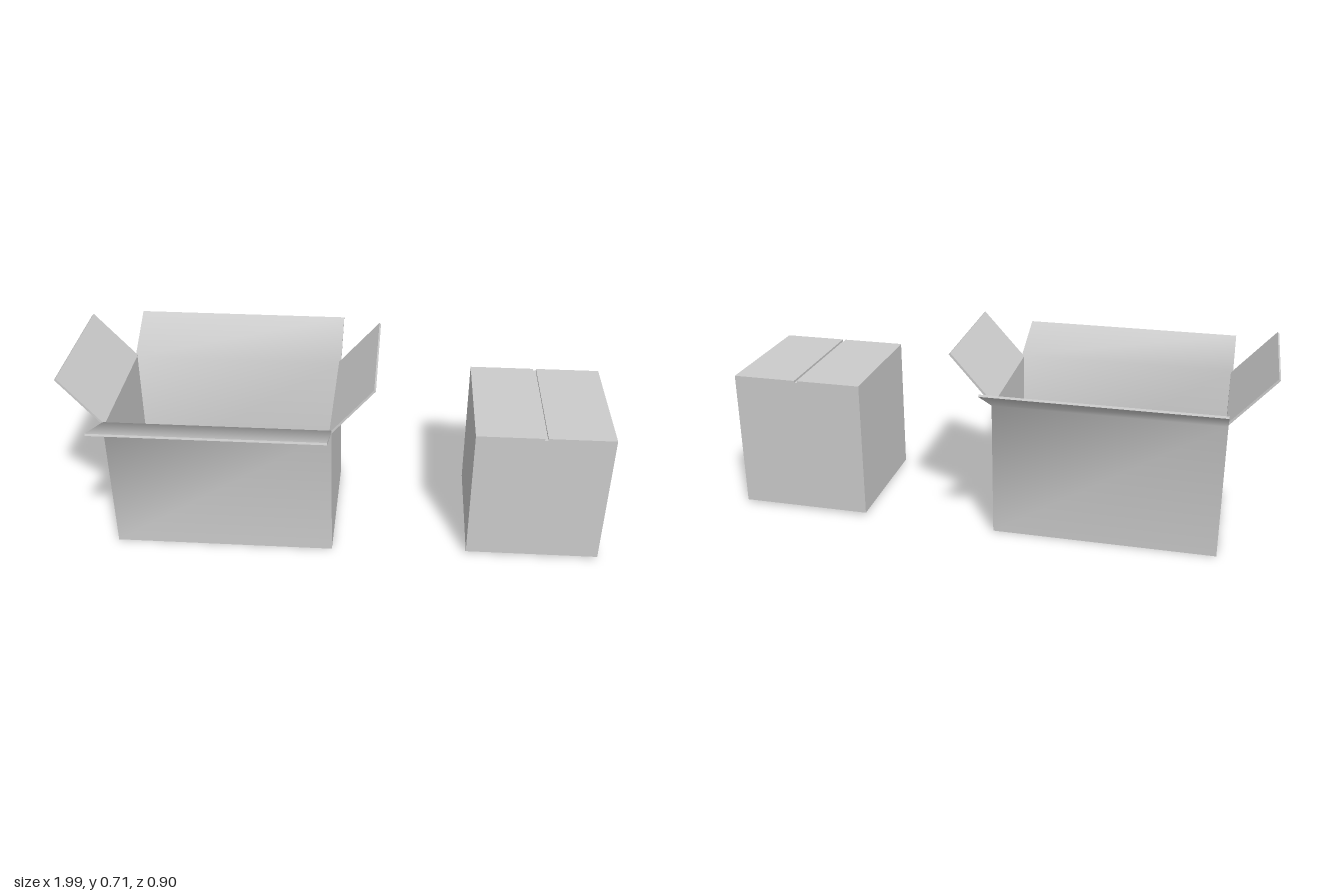
import * as THREE from 'three';
import { mergeGeometries } from 'three/addons/utils/BufferGeometryUtils.js';

const T = 0.008; // cardboard thickness

// Surface through rails of points [a, b], ordered upward and seen from its front
function grid(rails, smooth) {
  const index = [];
  for (let i = 0; i < rails.length - 1; i++) {
    const k = i * 2;
    index.push(k, k + 1, k + 3, k, k + 3, k + 2);
  }
  const indexed = new THREE.BufferGeometry();
  indexed.setAttribute('position', new THREE.Float32BufferAttribute(rails.flat().flatMap(p => p.toArray()), 3));
  indexed.setIndex(index);
  if (smooth) indexed.computeVertexNormals();
  const geometry = indexed.toNonIndexed();
  if (!smooth) geometry.computeVertexNormals();
  return geometry;
}

// Wall folding outward into a flap, as one sheet with thickness.
// rails: outer corners at bottom, fold and tip; out: horizontal outward direction
function foldedSheet(rails, out, smooth) {
  const up = new THREE.Vector3(0, 1, 0);
  const flap = rails[2][0].clone().sub(rails[1][0]);
  const run = flap.dot(out), length = Math.hypot(run, flap.y);
  const c = flap.y / length, s = run / length;
  // inward offsets (inward, up), mitred at the fold
  const offsets = [[1, 0], [1, (1 - c) / s], [c, s]].map(([inward, rise]) =>
    out.clone().multiplyScalar(-inward * T).addScaledVector(up, rise * T));
  const inner = rails.map((rail, i) => rail.map(p => p.clone().add(offsets[i])));
  const last = rails.length - 1;
  return mergeGeometries([
    grid(rails, smooth),
    grid(inner.map(([a, b]) => [b, a]), smooth),
    grid([inner[0], rails[0]], false),
    grid([rails[last], inner[last]], false),
    grid(rails.map((rail, i) => [inner[i][0], rail[0]]), false),
    grid(rails.map((rail, i) => [rail[1], inner[i][1]]), false),
  ]);
}

export function createModel() {
  const model = new THREE.Group();
  const material = new THREE.MeshStandardMaterial({ color: 0xcccccc });
  const v = (x, y, z) => new THREE.Vector3(x, y, z);
  const add = (parent, name, geometry) => {
    const mesh = new THREE.Mesh(geometry, material);
    mesh.name = name;
    parent.add(mesh);
    return mesh;
  };

  // Open box
  const open = new THREE.Group();
  open.name = 'openBox';
  model.add(open);
  const x0 = -0.84, x1 = -0.01;

  // Front and back walls bend softly into their flaps: [z, y] at bottom, fold, tip
  const longSides = [
    ['frontWallAndFlap', 1, [[0.265, 0], [0.258, 0.528], [0.45, 0.606]]],
    ['backWallAndFlap', -1, [[-0.245, 0], [-0.261, 0.518], [-0.447, 0.625]]],
  ];
  for (const [name, side, profile] of longSides) {
    const [a, b] = side > 0 ? [x0, x1] : [x1, x0];
    const rails = profile.map(([z, y]) => [v(a, y, z), v(b, y, z)]);
    add(open, name, foldedSheet(rails, v(0, 0, side), true));
  }

  // Side walls with crisp folds: [y, reach outward, front z, back z]
  const sideProfile = [[0, 0, 0.265, -0.245], [0.524, 0, 0.254, -0.261], [0.70, 0.155, 0.245, -0.262]];
  for (const [name, side, x] of [['leftWallAndFlap', 1, x1], ['rightWallAndFlap', -1, x0]]) {
    const rails = sideProfile.map(([y, reach, front, back]) => {
      const ends = [v(x + side * reach, y, front), v(x + side * reach, y, back)];
      return side > 0 ? ends : ends.reverse();
    });
    add(open, name, foldedSheet(rails, v(side, 0, 0), false));
  }

  // Floor
  add(open, 'floor', new THREE.BoxGeometry(x1 - x0 - 0.002, T, 0.508))
    .position.set((x0 + x1) / 2, T / 2, 0.01);

  // Closed box, with a shallow seam where the lid flaps meet
  const outline = new THREE.Shape([
    [0.502, 0.01], [0.998, 0.01], [0.998, 0.537], [0.757, 0.537],
    [0.757, 0.529], [0.745, 0.529], [0.745, 0.537], [0.502, 0.537],
  ].map(([x, y]) => new THREE.Vector2(x, y)));
  add(model, 'closedBox', new THREE.ExtrudeGeometry(outline, { depth: 0.495, bevelEnabled: false }))
    .position.z = -0.239;

  return model;
}
